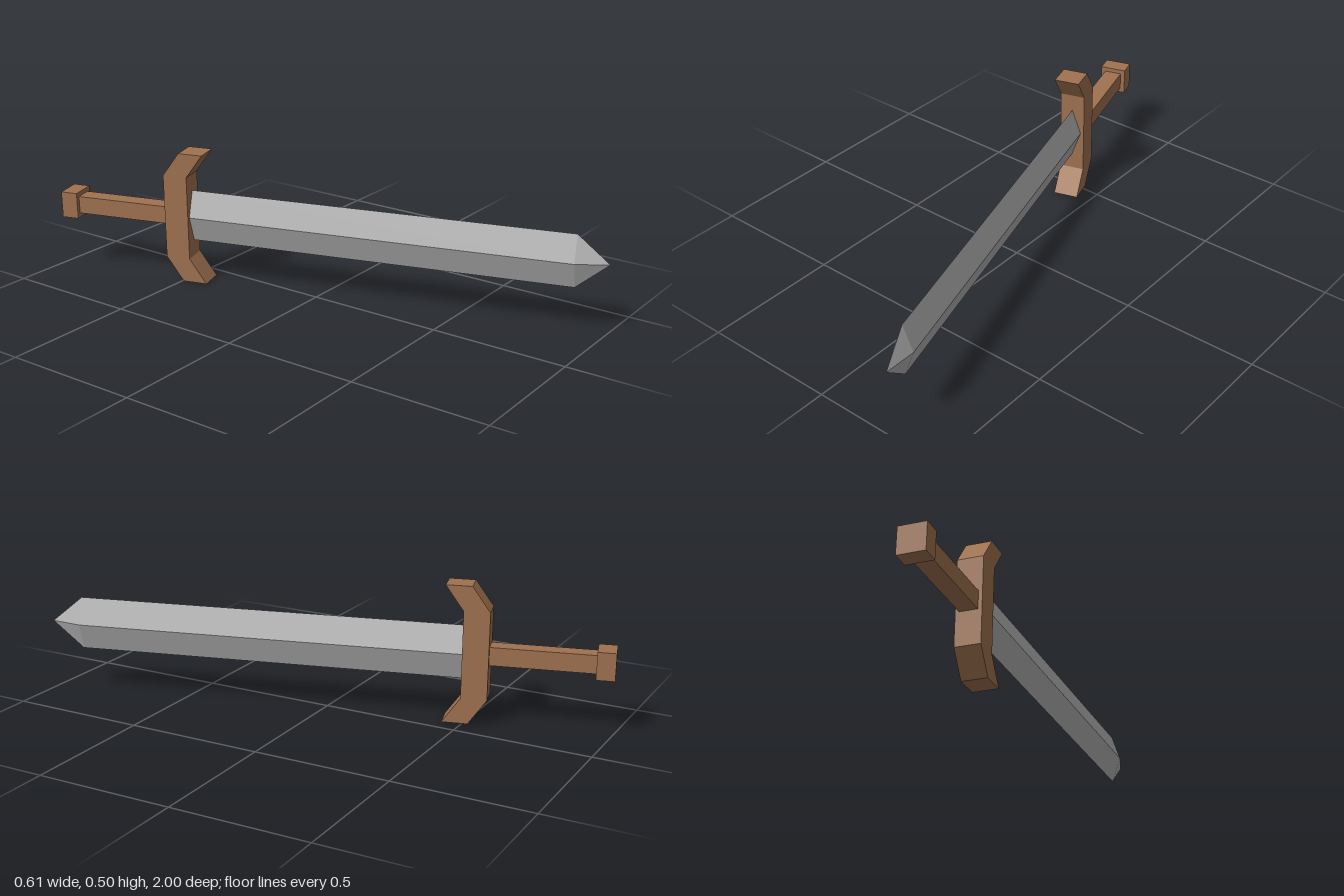
import * as THREE from 'three';

export function createModel() {
  const wood = new THREE.MeshStandardMaterial({ color: 0xa07250, flatShading: true });
  wood.name = 'brown wood';
  const steel = new THREE.MeshStandardMaterial({ color: 0xb2b2b2, flatShading: true });
  steel.name = 'grey steel';

  // The sword lies along local +z, with the guard's front face at z = 0
  const sword = new THREE.Group();
  sword.name = 'sword';
  const add = (name, geometry, material) => {
    const mesh = new THREE.Mesh(geometry, material);
    mesh.name = name;
    sword.add(mesh);
  };
  // Square bar between two z positions
  const bar = (size, z0, z1) =>
    new THREE.BoxGeometry(size, size, z1 - z0).translate(0, 0, (z0 + z1) / 2);

  // Diamond-section blade and its point
  const shoulder = 1.423, tip = 1.539, root = -0.02;
  const diamond = (topRadius, z0, z1, open) =>
    new THREE.CylinderGeometry(topRadius, 1, z1 - z0, 4, 1, open)
      .rotateX(Math.PI / 2)
      .scale(0.034, 0.0975, 1)
      .translate(0, 0, (z0 + z1) / 2);
  add('blade', diamond(1, root, shoulder, true), steel);
  add('bladePoint', diamond(0, shoulder, tip, true), steel);

  // Guard with both ends swept toward the blade, drawn as (z, y)
  const depth = 0.093, width = 0.094, sweep = 0.065;
  const front = [[sweep, -0.25], [0, -0.158], [0, 0.16], [sweep, 0.25]];
  const back = front.map(([z, y]) => [z - depth, y]).reverse();
  const profile = new THREE.Shape([...front, ...back].map(([z, y]) => new THREE.Vector2(z, y)));
  add('guard', new THREE.ExtrudeGeometry(profile, { depth: width, bevelEnabled: false })
    .rotateY(-Math.PI / 2)
    .translate(width / 2, 0, 0), wood);

  // Handle
  add('grip', bar(0.066, -0.47, -0.08), wood);
  add('pommel', bar(0.1, -0.525, -0.46), wood);

  // Resting pose: turned, with a slight pitch and roll
  const deg = THREE.MathUtils.degToRad;
  sword.rotation.set(deg(-0.28), deg(15.8), deg(0.8), 'YXZ');
  sword.position.set(-0.115, 0.25, -0.481);

  const model = new THREE.Group();
  model.name = 'model';
  model.add(sword);
  return model;
}
